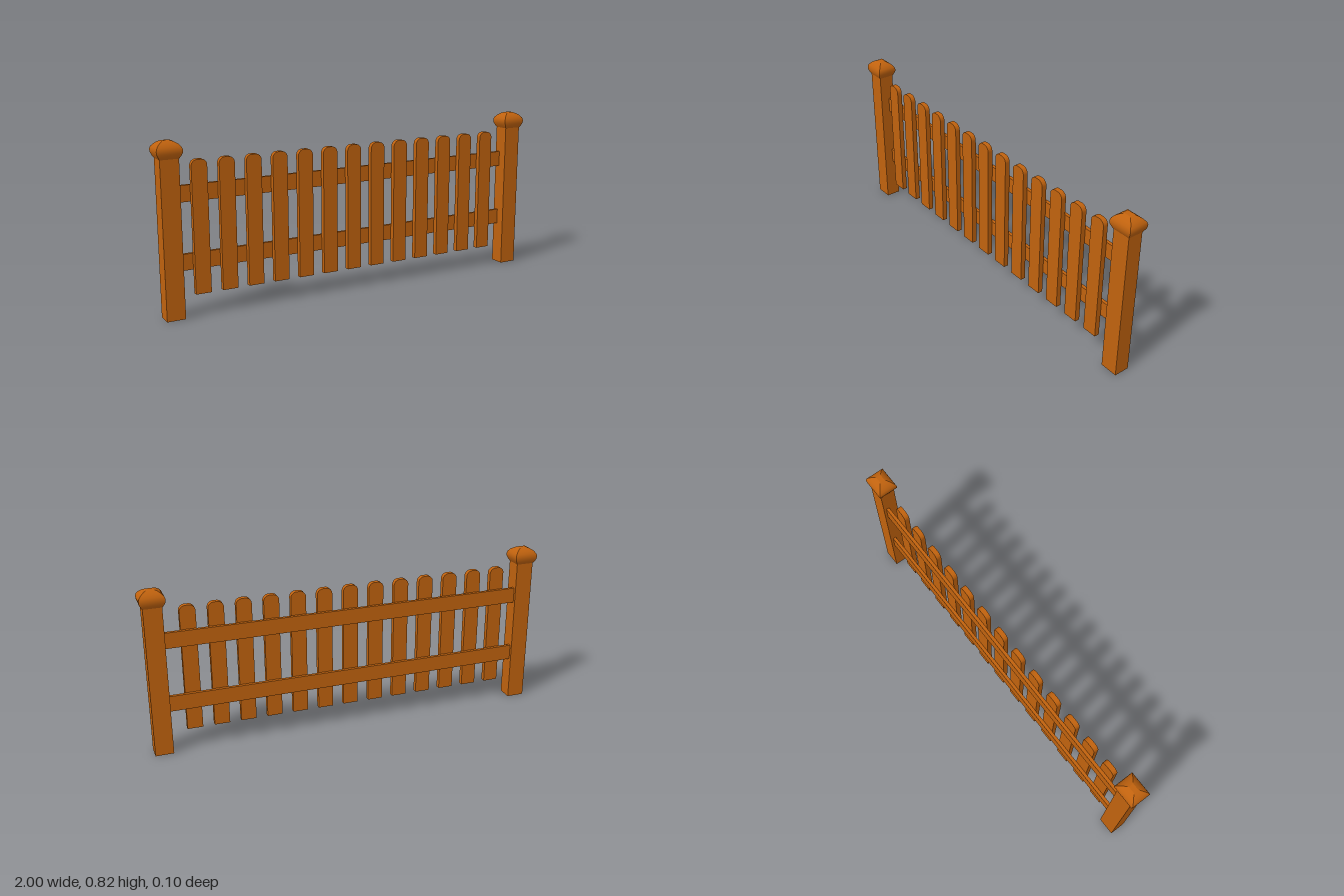
import * as THREE from 'three';
import { mergeGeometries } from 'three/addons/utils/BufferGeometryUtils.js';

// Square-plan domed cap: four sides, each smooth up its profile, sharp at the corners
function capGeometry() {
  // half width in x, height, half depth in z
  const rows = [
    [0.044, 0.737, 0.038], [0.051, 0.748, 0.045], [0.058, 0.762, 0.0495], [0.06, 0.776, 0.05],
    [0.056, 0.789, 0.046], [0.045, 0.802, 0.036], [0.03, 0.812, 0.023], [0.016, 0.817, 0.012],
  ];
  const corners = [[-1, 1], [1, 1], [1, -1], [-1, -1]];
  const parts = corners.map((a, i) => {
    const b = corners[(i + 1) % 4];
    const pos = [], index = [];
    rows.forEach(([w, y, d], r) => {
      pos.push(a[0] * w, y, a[1] * d, b[0] * w, y, b[1] * d);
      if (r > 0) {
        const k = r * 2;
        index.push(k - 2, k - 1, k + 1, k - 2, k + 1, k);
      }
    });
    const g = new THREE.BufferGeometry();
    g.setAttribute('position', new THREE.Float32BufferAttribute(pos, 3));
    g.setIndex(index);
    g.computeVertexNormals();
    return g;
  });
  // small flat crown
  const crown = new THREE.PlaneGeometry(0.032, 0.024).rotateX(-Math.PI / 2).translate(0, 0.817, 0);
  crown.deleteAttribute('uv');
  return mergeGeometries([...parts, crown]);
}

// Flat board with rounded upper corners, standing on y = 0
function picketGeometry(width, height, depth, radius) {
  const h = width / 2;
  const s = new THREE.Shape();
  s.moveTo(-h, 0);
  s.lineTo(h, 0);
  s.lineTo(h, height - radius);
  s.absarc(h - radius, height - radius, radius, 0, Math.PI / 2);
  s.lineTo(-h + radius, height);
  s.absarc(-h + radius, height - radius, radius, Math.PI / 2, Math.PI);
  s.closePath();
  return new THREE.ExtrudeGeometry(s, { depth, bevelEnabled: false, curveSegments: 5 });
}

export function createModel() {
  const fence = new THREE.Group();
  fence.name = 'picketFence';
  const wood = new THREE.MeshStandardMaterial({ color: 0xc0620e });
  wood.name = 'warm brown wood';

  const add = (name, geometry, x, y, z) => {
    const mesh = new THREE.Mesh(geometry, wood);
    mesh.name = name;
    mesh.position.set(x, y, z);
    fence.add(mesh);
  };

  // End posts with caps
  const post = new THREE.BoxGeometry(0.088, 0.74, 0.076);
  const cap = capGeometry();
  for (const [side, x] of [['left', 0.94], ['right', -0.94]]) {
    add(side + 'Post', post, x, 0.37, 0);
    add(side + 'PostCap', cap, x, 0, 0);
  }

  // Horizontal rails behind the pickets
  const rail = new THREE.BoxGeometry(1.8, 0.077, 0.016);
  add('lowerRail', rail, 0, 0.252, -0.016);
  add('upperRail', rail, 0, 0.569, -0.016);

  // Pickets
  const picket = picketGeometry(0.075, 0.623, 0.025, 0.029);
  for (let i = 0; i < 13; i++) {
    add('picket' + (i + 1), picket, -0.798 + i * 0.1316, 0.1, -0.008);
  }
  return fence;
}
